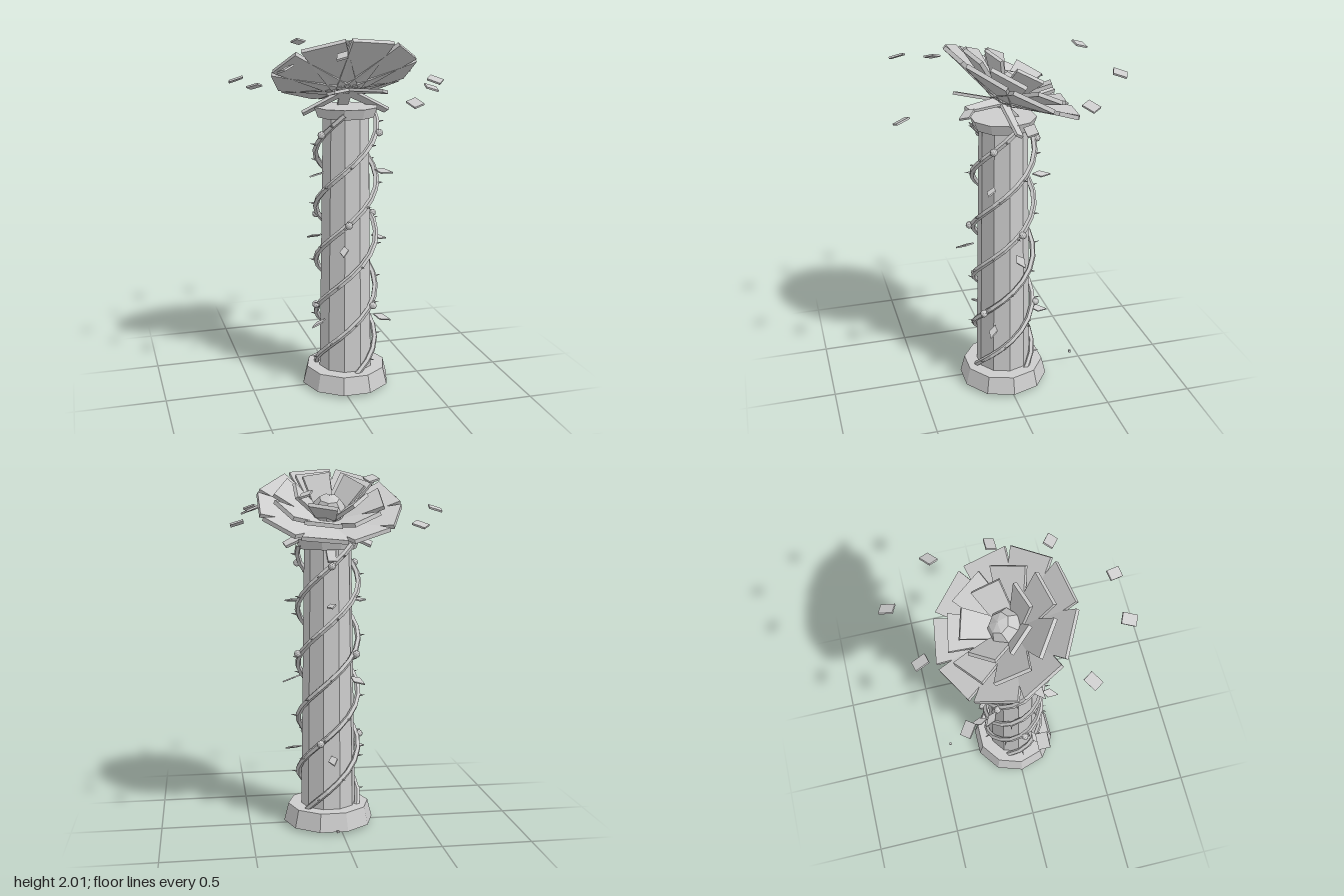
import * as THREE from 'three';

const TURN = Math.PI * 2;
const rad = THREE.MathUtils.degToRad;

export function createModel() {
  const model = new THREE.Group();
  model.name = 'flowerColumn';
  const stone = new THREE.MeshStandardMaterial({ color: 0xcccccc, flatShading: true });
  stone.name = 'pale stone';

  function add(parent, name, geometry, x = 0, y = 0, z = 0) {
    const mesh = new THREE.Mesh(geometry, stone);
    mesh.name = name;
    mesh.position.set(x, y, z);
    parent.add(mesh);
    return mesh;
  }

  // Everything circles this axis
  const axis = new THREE.Group();
  axis.name = 'column';
  axis.position.x = 0.05;
  model.add(axis);

  // Ten-sided column: foot, shaft and capital
  function drum(name, rTop, rBottom, y0, y1) {
    const g = new THREE.CylinderGeometry(rTop, rBottom, y1 - y0, 10);
    g.rotateY(TURN / 20);
    add(axis, name, g, 0, (y0 + y1) / 2, 0);
  }
  drum('foot', 0.23, 0.255, 0.02, 0.12);
  drum('shaft', 0.132, 0.156, 0.11, 1.58);
  drum('capital', 0.18, 0.16, 1.575, 1.63);

  // Point on a circle, angle running from +x towards -z
  const polar = (a, r, y) => new THREE.Vector3(Math.cos(a) * r, y, -Math.sin(a) * r);
  const helix = (t, start, r) => polar(start + t * 1.7 * TURN, r, 0.017 + 1.585 * t);

  // Pointed thin leaf lying along +x
  const leafShape = new THREE.Shape();
  leafShape.moveTo(0, 0);
  leafShape.lineTo(0.045, 0.026);
  leafShape.lineTo(0.105, 0);
  leafShape.lineTo(0.045, -0.026);
  leafShape.closePath();
  const leafGeo = new THREE.ExtrudeGeometry(leafShape, { depth: 0.008, bevelEnabled: false });
  leafGeo.rotateX(-Math.PI / 2);

  const thornGeo = new THREE.ConeGeometry(0.007, 0.035, 4);
  thornGeo.rotateZ(-Math.PI / 2);
  const budGeo = new THREE.IcosahedronGeometry(0.021, 1);

  // Three climbing vines with thorns, buds and leaves
  for (let k = 0; k < 3; k++) {
    const start = (k * TURN) / 3;
    const vine = new THREE.Group();
    vine.name = 'vine' + (k + 1);
    axis.add(vine);

    const points = [];
    for (let i = 0; i <= 30; i++) points.push(helix(i / 30, start, 0.17));
    const path = new THREE.CatmullRomCurve3(points);
    add(vine, 'stem', new THREE.TubeGeometry(path, 30, 0.016, 5));

    for (let i = 0; i < 14; i++) {
      const t = (i + 0.5) / 14;
      const p = helix(t, start, 0.195);
      const thorn = add(vine, 'thorn', thornGeo, p.x, p.y, p.z);
      thorn.rotation.set(0, start + t * 1.7 * TURN, 0.15);
    }
    for (const t of [0.31, 0.62, 0.93]) {
      const p = helix(t, start, 0.188);
      add(vine, 'bud', budGeo, p.x, p.y, p.z);
    }
    for (const [deg, y, droop] of [[90, 0.43, 0.25], [12, 0.87, 0.3], [88, 1.28, 0.1]]) {
      const a = start + rad(deg);
      const p = polar(a, 0.165, y);
      const leaf = add(vine, 'leaf', leafGeo, p.x, p.y, p.z);
      leaf.rotation.order = 'YZX';
      leaf.rotation.set(0.3, a, -droop);
    }
  }

  // Tilted flower head
  const flower = new THREE.Group();
  flower.name = 'flower';
  flower.position.set(0, 1.715, 0.005);
  flower.rotation.x = -rad(28.5);
  axis.add(flower);

  // Ring of slabs that widen or narrow from the centre outwards
  function ring(name, count, first, elevation, r0, r1, w0, w1, thick) {
    const g = new THREE.BoxGeometry(r1 - r0, thick, 1);
    g.translate((r0 + r1) / 2, 0, 0);
    const pos = g.attributes.position;
    for (let i = 0; i < pos.count; i++) {
      pos.setZ(i, pos.getZ(i) * (pos.getX(i) > (r0 + r1) / 2 ? w1 : w0));
    }
    g.computeVertexNormals();
    for (let i = 0; i < count; i++) {
      const petal = add(flower, name, g);
      petal.rotation.set(0, rad(first) + (i * TURN) / count, rad(elevation));
    }
  }
  ring('outerPetal', 9, 0, 17, 0.02, 0.4, 0.14, 0.24, 0.022);
  ring('middlePetal', 7, 25.7, 28, 0.02, 0.325, 0.11, 0.2, 0.022);
  ring('innerPetal', 5, 0, 47, 0.02, 0.275, 0.09, 0.16, 0.02);
  ring('sepal', 5, 90, -20, 0.0, 0.27, 0.07, 0.045, 0.016);
  add(flower, 'flowerCore', new THREE.SphereGeometry(0.095, 7, 5), 0, 0.075, 0);

  // Loose flakes floating around the head
  const flakeGeo = new THREE.BoxGeometry(0.075, 0.01, 0.056);
  for (let i = 0; i < 10; i++) {
    const a = (i * TURN) / 10;
    const p = polar(a, 0.498 + 0.054 * (i % 3), 1.715 + 0.078 * (i % 4));
    const flake = add(axis, 'flake', flakeGeo, p.x, p.y, p.z);
    flake.rotation.order = 'YZX';
    flake.rotation.set(0.3, a, -0.3);
  }

  // Tiny chip behind the foot
  add(axis, 'chip', new THREE.BoxGeometry(0.013, 0.013, 0.013), 0.005, 0.09, -0.42);

  return model;
}
